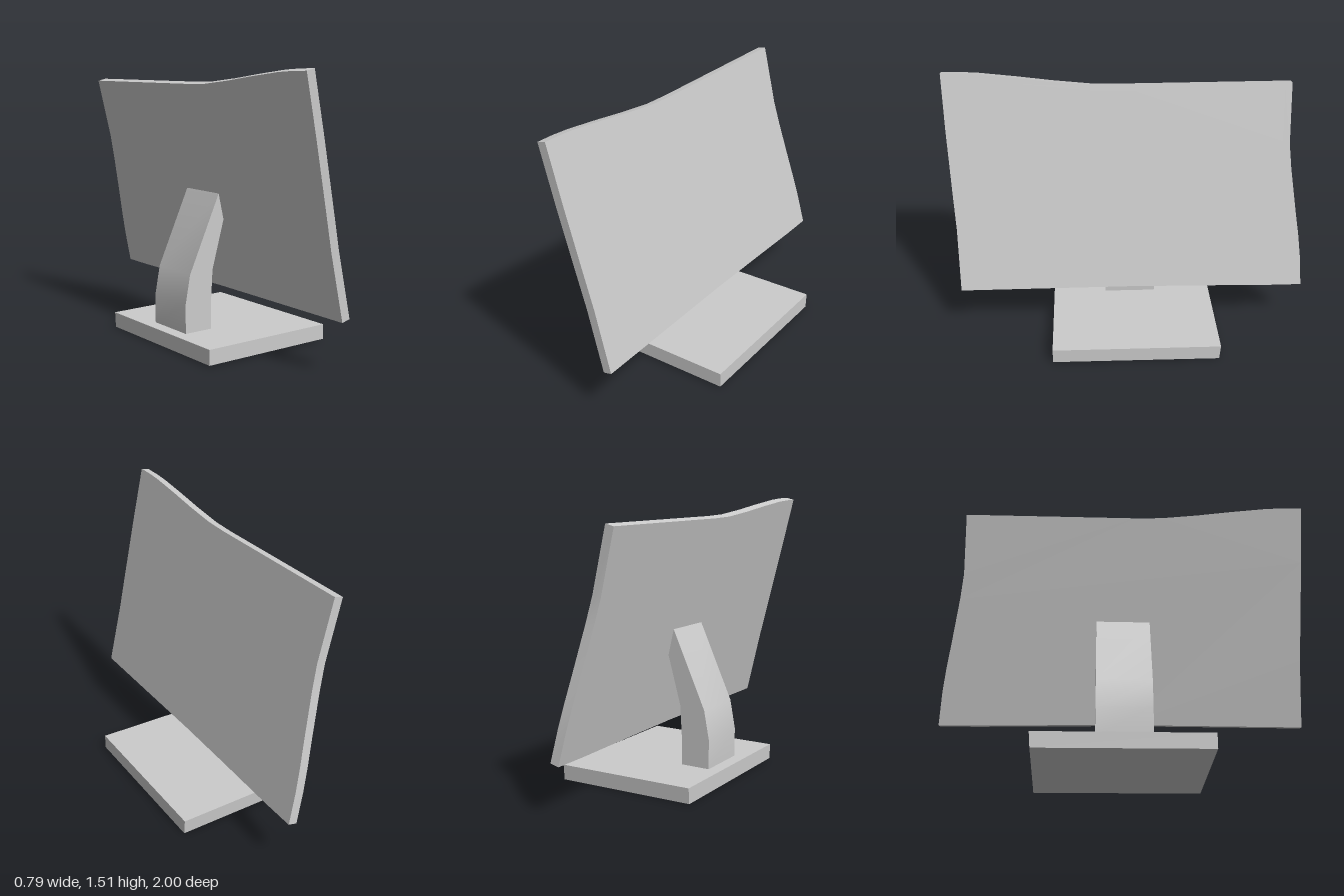
import * as THREE from 'three';
import { toCreasedNormals } from 'three/addons/utils/BufferGeometryUtils.js';

const TILT = 0.23; // backward lean of the display
const PIVOT = { x: 0.075, y: 0.275 }; // lower front edge of the display

const material = new THREE.MeshStandardMaterial({ color: 0xcccccc });

function addMesh(parent, name, geometry) {
  const mesh = new THREE.Mesh(toCreasedNormals(geometry, 0.5), material);
  mesh.name = name;
  parent.add(mesh);
  return mesh;
}

const extrude = (shape, depth) =>
  new THREE.ExtrudeGeometry(shape, { depth, bevelEnabled: false, curveSegments: 8 });

const toPoints = (list) => list.map(([x, y]) => new THREE.Vector2(x, y));

// Points are [z, height]; height is stretched along the leaning plane
const onPanel = (list) =>
  toPoints(list.map(([z, y]) => [-z, (y - PIVOT.y) / Math.cos(TILT)]));

const OUTER = [
  [1, 1.515], [0.9, 1.513], [0.8, 1.507], [0.6, 1.485], [0.4, 1.46], [0.2, 1.44], [0.05, 1.436], [-0.9, 1.436],
  [-0.9, 1.1], [-0.915, 0.96], [-0.95, 0.72], [-0.972, 0.58], [-0.988, 0.45], [-1, 0.275],
  [-0.8, 0.275], [-0.4, 0.283], [0, 0.289], [0.967, 0.289], [0.969, 0.65], [0.978, 0.85], [0.992, 1.2],
];
const INNER = [
  [0.957, 1.48], [0.8, 1.475], [0.6, 1.453], [0.4, 1.43], [0.2, 1.41], [0.05, 1.405], [-0.86, 1.405],
  [-0.86, 1.1], [-0.875, 0.95], [-0.91, 0.72], [-0.932, 0.58], [-0.948, 0.45], [-0.957, 0.31],
  [-0.8, 0.31], [-0.4, 0.317], [0, 0.322], [0.924, 0.322], [0.926, 0.65], [0.935, 0.85], [0.949, 1.2],
];

export function createModel() {
  const model = new THREE.Group();
  model.name = 'monitor';

  // Display: a warped slab with a thin raised bezel, facing +x
  const display = new THREE.Group();
  display.name = 'display';
  display.position.set(PIVOT.x, PIVOT.y, 0);
  display.rotation.z = TILT;
  model.add(display);

  const thickness = 0.05, lip = 0.01;
  const panel = extrude(new THREE.Shape(onPanel(OUTER)), thickness - lip);
  panel.translate(0, 0, -thickness).rotateY(Math.PI / 2);
  addMesh(display, 'screenPanel', panel);

  const frame = new THREE.Shape(onPanel(OUTER));
  frame.holes.push(new THREE.Path(onPanel(INNER)));
  const bezel = extrude(frame, lip);
  bezel.translate(0, 0, -lip).rotateY(Math.PI / 2);
  addMesh(display, 'bezel', bezel);

  // Stand: bent neck running from the base to the back of the display
  const neck = extrude(new THREE.Shape(toPoints([
    [-0.16, 0.085], [-0.16, 0.25], [-0.15, 0.42], [-0.075, 0.69],
    [-0.108, 0.835], [-0.3, 0.41], [-0.33, 0.25], [-0.33, 0.085],
  ])), 0.295);
  neck.translate(0, 0, -0.16);
  addMesh(model, 'standNeck', neck);

  // Base: slightly uneven slab
  const base = new THREE.BoxGeometry(0.79, 0.09, 0.94);
  base.translate(-0.005, 0.045, -0.025);
  const p = base.attributes.position;
  for (let i = 0; i < p.count; i++) {
    const back = p.getZ(i) < 0, low = p.getY(i) < 0.04;
    if (back) p.setZ(i, p.getX(i) > 0 ? -0.505 : -0.487);
    if (back && low) p.setZ(i, p.getZ(i) + 0.007);
    if (!back && low) p.setY(i, 0.006);
    if (back && !low) p.setY(i, 0.086);
  }
  addMesh(model, 'base', base);

  return model;
}
